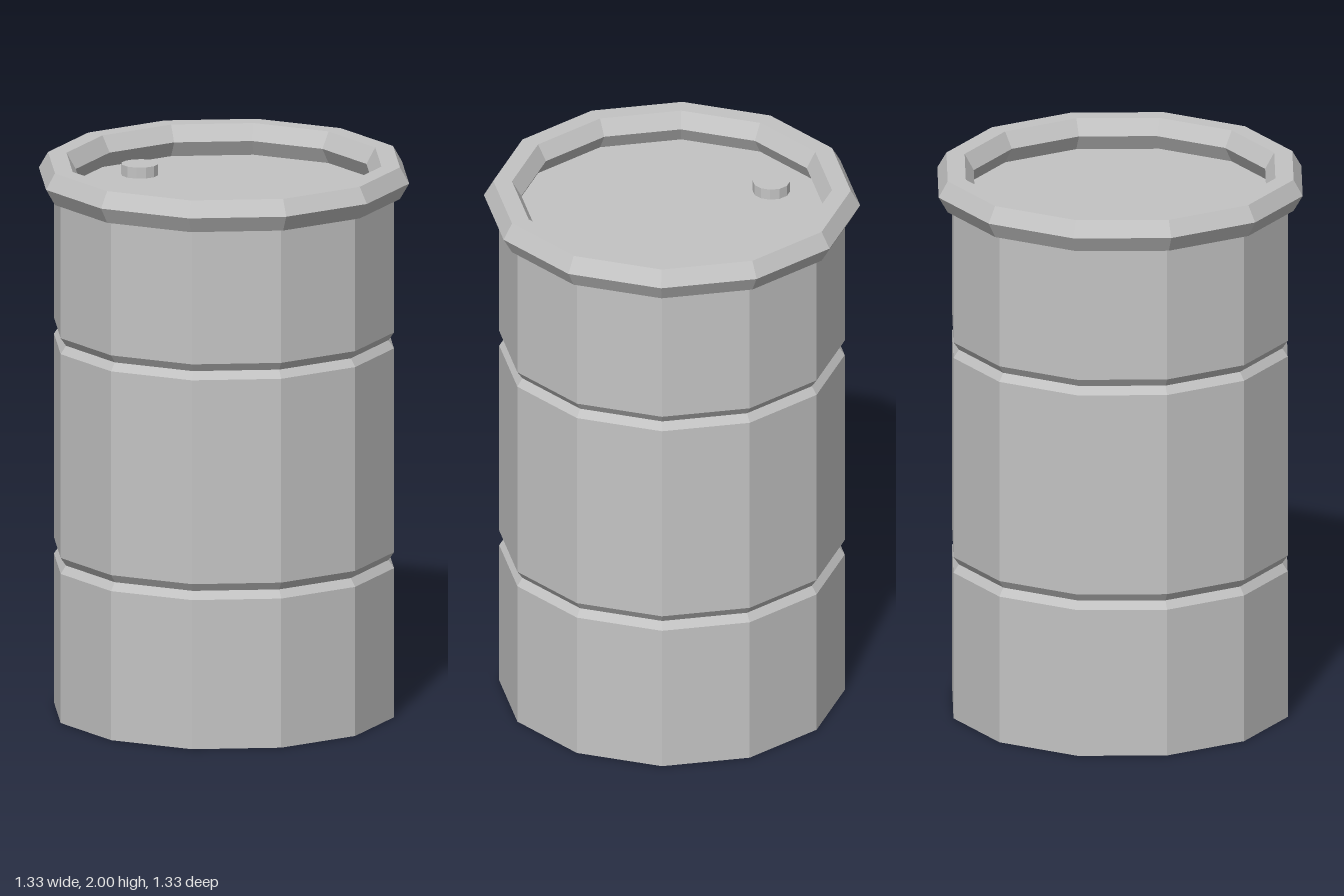
import * as THREE from 'three';

const SIDES = 12;

export function createModel() {
  const model = new THREE.Group();
  model.name = 'barrel';
  const steel = new THREE.MeshStandardMaterial({ color: 0xc4c4c4 });
  steel.name = 'grey steel';

  // Splits shared corners so every facet is shaded flat
  const addPart = (name, geometry) => {
    const flat = geometry.toNonIndexed();
    flat.computeVertexNormals();
    const mesh = new THREE.Mesh(flat, steel);
    mesh.name = name;
    model.add(mesh);
    return mesh;
  };

  // Body: straight wall with two V-shaped grooves, closed by the base and the lid
  const radius = 0.612, grooveRadius = 0.592, grooveHalf = 0.029, lidY = 1.885;
  const profile = [[0, 0], [radius, 0]];
  for (const y of [0.571, 1.37]) {
    profile.push([radius, y - grooveHalf], [grooveRadius, y], [radius, y + grooveHalf]);
  }
  profile.push([radius, lidY], [0, lidY]);
  addPart('body', new THREE.LatheGeometry(profile.map(([r, y]) => new THREE.Vector2(r, y)), SIDES));

  // Rim: ring with a hexagonal section, standing on the edge of the lid
  const tube = 0.0665;
  const rim = new THREE.TorusGeometry(0.6, tube, 6, SIDES).rotateX(Math.PI / 2);
  addPart('rim', rim).position.y = 2 - tube * Math.sin(Math.PI / 3);

  // Bung cap on the lid
  const capHeight = 0.04;
  addPart('bungCap', new THREE.CylinderGeometry(0.066, 0.066, capHeight, SIDES))
    .position.set(-0.393, lidY + capHeight / 2, 0);

  return model;
}
